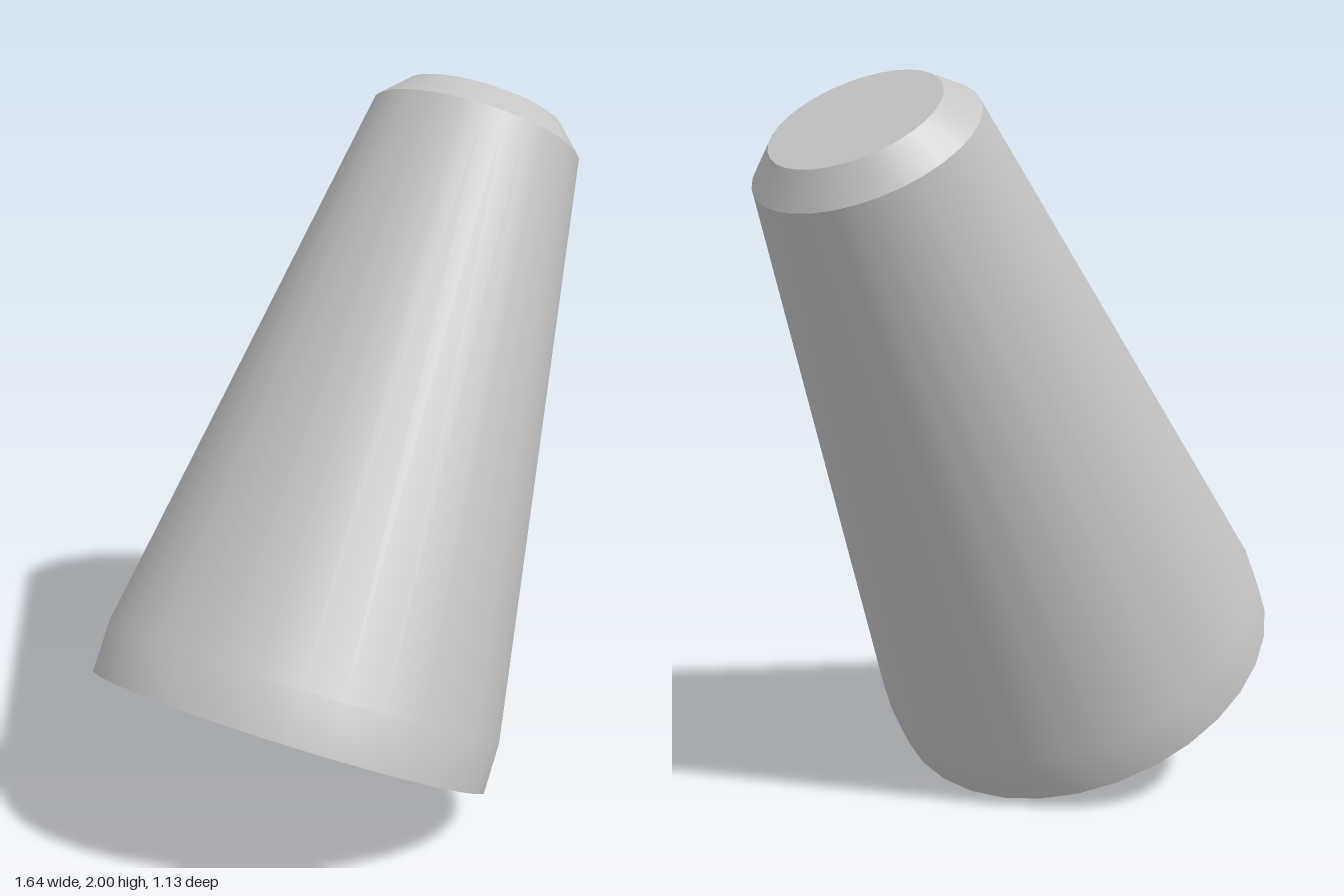
import * as THREE from 'three';

const SEGMENTS = 32;

export function createModel() {
  const grey = new THREE.MeshStandardMaterial({ color: 0xc4c4c4 });
  grey.name = 'grey';

  const model = new THREE.Group();
  model.name = 'leaningTaperedPlug';

  // Everything is built upright on the base disc, then leaned towards +x
  const plug = new THREE.Group();
  plug.name = 'plug';
  plug.position.set(-0.327, 0.2835, 0);
  plug.rotation.z = -Math.PI / 6;
  model.add(plug);

  const add = (name, geometry) => {
    const mesh = new THREE.Mesh(geometry, grey);
    mesh.name = name;
    plug.add(mesh);
  };
  const turned = (points) =>
    new THREE.LatheGeometry(points.map(([r, y]) => new THREE.Vector2(r, y)), SEGMENTS);
  const disc = (radius, y, up) =>
    new THREE.CircleGeometry(radius, SEGMENTS).rotateX(up ? -Math.PI / 2 : Math.PI / 2).translate(0, y, 0);

  // Short straight rim running smoothly into the long taper
  add('body', turned([[0.567, 0], [0.567, 0.143], [0.305, 1.768]]));
  // Chamfer with a sharp edge above and below
  add('chamfer', turned([[0.305, 1.768], [0.231, 1.844]]));
  // Flat ends
  add('topFace', disc(0.231, 1.844, true));
  add('baseFace', disc(0.567, 0, false));

  return model;
}
